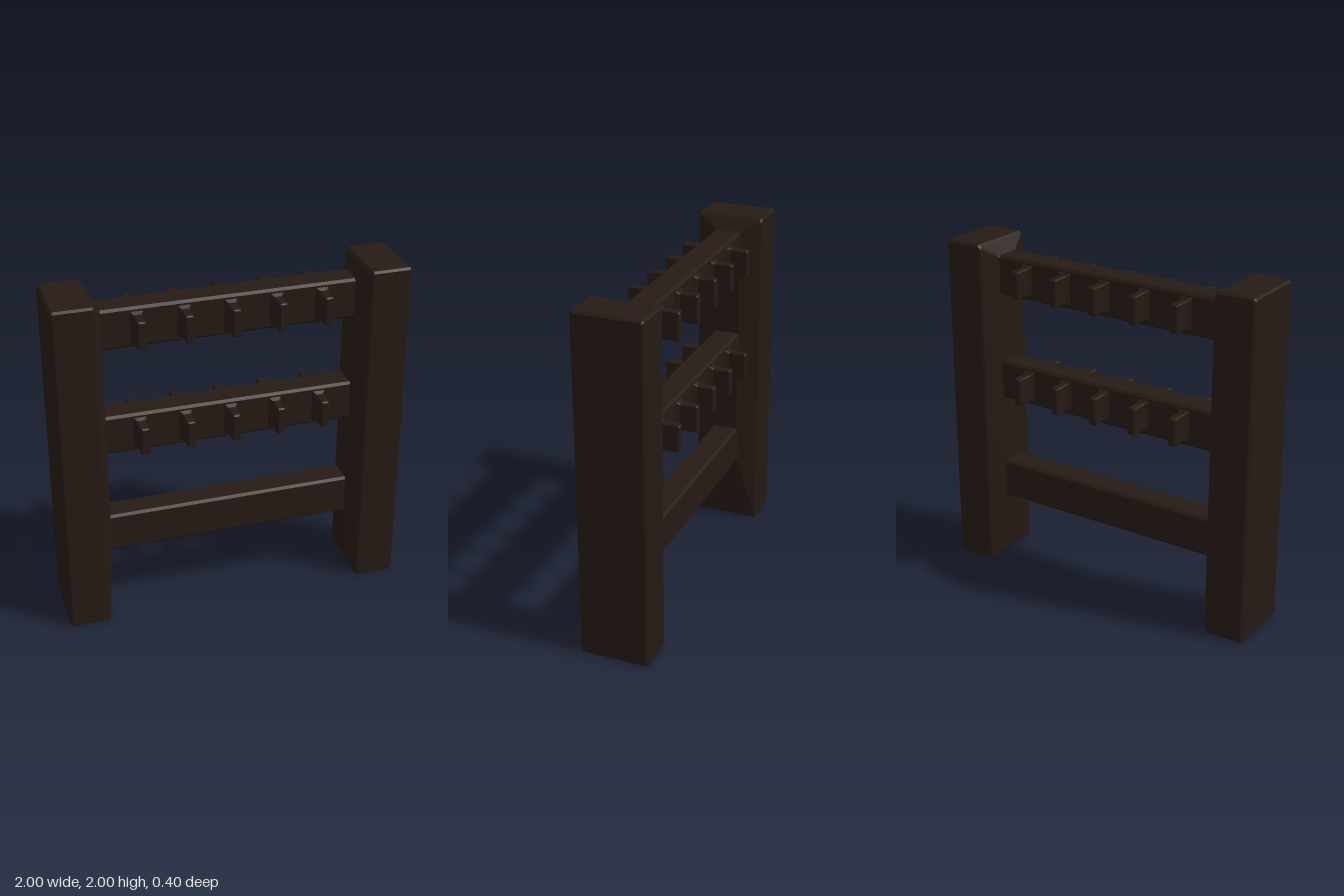
import * as THREE from 'three';

const BEVEL = 0.012;
const material = new THREE.MeshStandardMaterial({ color: 0x261a14, flatShading: true });

// Lofts chamfered rectangles along x; each section is [x, yMin, yMax, halfDepth, chamfer]
function loft(sections) {
  const rings = sections.map(([x, y0, y1, d, c]) => [
    [x, y1, -d + c], [x, y1, d - c], [x, y1 - c, d], [x, y0 + c, d],
    [x, y0, d - c], [x, y0, -d + c], [x, y0 + c, -d], [x, y1 - c, -d],
  ]);
  const n = 8;
  const index = [];
  for (let s = 0; s < rings.length - 1; s++) {
    for (let i = 0; i < n; i++) {
      const a = s * n + i, b = s * n + (i + 1) % n;
      index.push(a, b, b + n, a, b + n, a + n);
    }
  }
  // End caps
  const last = (rings.length - 1) * n;
  for (let i = 1; i < n - 1; i++) {
    index.push(0, i + 1, i, last, last + i, last + i + 1);
  }
  const geometry = new THREE.BufferGeometry();
  geometry.setAttribute('position', new THREE.Float32BufferAttribute(rings.flat(2), 3));
  geometry.setIndex(index);
  const flat = geometry.toNonIndexed();
  flat.computeVertexNormals();
  return flat;
}

function addMesh(parent, name, geometry) {
  const mesh = new THREE.Mesh(geometry, material);
  mesh.name = name;
  parent.add(mesh);
  return mesh;
}

export function createModel() {
  const model = new THREE.Group();
  model.name = 'rack';
  const b = BEVEL;

  // Posts: a square column with a raised, sloping inner face
  const postGeometry = loft([
    [-1, b, 2 - b, 0.2 - b, 0.005],
    [-1 + b, 0, 2, 0.2, b],
    [-0.775, 0, 2, 0.2, b],
    [-0.76, 0.015, 1.985, 0.192, b],
    [-0.722, 0.39, 1.925, 0.09, b],
    [-0.715, 0.41, 1.915, 0.08, b],
  ]);
  addMesh(model, 'rightPost', postGeometry);
  addMesh(model, 'leftPost', postGeometry).rotation.y = Math.PI;

  // Rails between the posts
  const railGeometry = loft([
    [-0.74, -0.117, 0.117, 0.08, 0.014],
    [0.74, -0.117, 0.117, 0.08, 0.014],
  ]);
  const rails = [['lowerRail', 0.523], ['middleRail', 1.163], ['upperRail', 1.803]];

  // Pegs: a flared foot running into a slim upright blade
  const pegGeometry = loft([
    [0.07, -0.093, 0.093, 0.038, 0.005],
    [0.082, -0.093, 0.093, 0.038, 0.005],
    [0.1, -0.08, 0.08, 0.024, 0.006],
    [0.192, -0.08, 0.08, 0.024, 0.006],
    [0.2, -0.073, 0.073, 0.017, 0.004],
  ]);

  for (const [name, y] of rails) {
    const rail = new THREE.Group();
    rail.name = name;
    rail.position.y = y;
    addMesh(rail, name + 'Beam', railGeometry);
    if (name !== 'lowerRail') {
      for (let i = -2; i <= 2; i++) {
        for (const side of [1, -1]) {
          const peg = addMesh(rail, side > 0 ? 'frontPeg' : 'backPeg', pegGeometry);
          peg.position.x = i * 0.261;
          peg.rotation.y = -side * Math.PI / 2;
        }
      }
    }
    model.add(rail);
  }
  return model;
}
